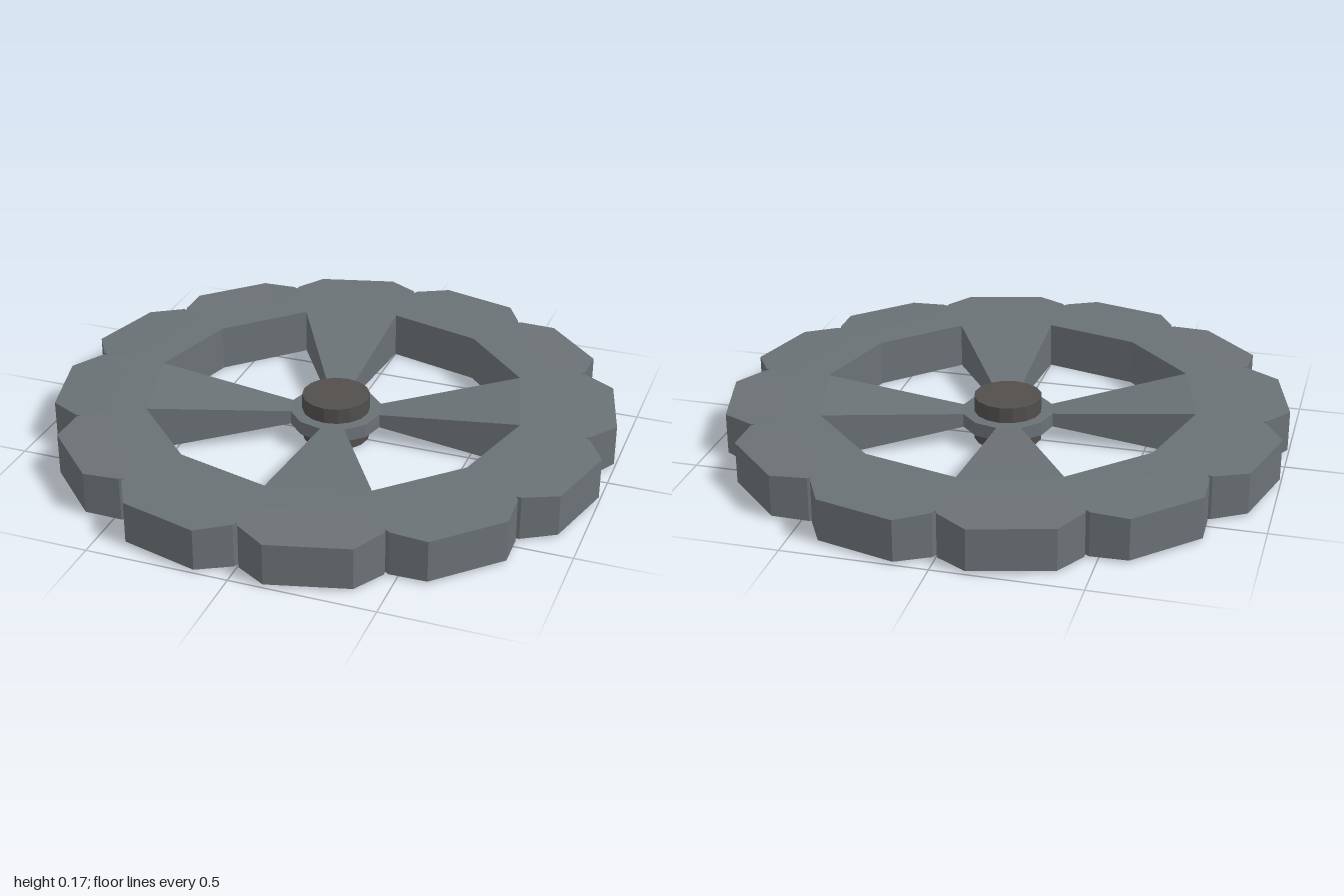
import * as THREE from 'three';

const MID = 0.084;            // mid height of the wheel
const HUB_R = 0.165, RIM_R = 0.68, SHOULDER_R = 0.82;
const HUB_H = 0.025, RIM_H = 0.084, TIP_H = 0.074;   // half thicknesses
const rad = THREE.MathUtils.degToRad;

// point on the wheel plane, angle in degrees clockwise from the back
function polar(r, deg) {
  return new THREE.Vector2(r * Math.sin(rad(deg)), -r * Math.cos(rad(deg)));
}

// point on the straight edge of one 12-gon sector
function chord(r, sector, t) {
  return polar(r, sector * 30).lerp(polar(r, sector * 30 + 30), t);
}

// collects quads; a node is {p, h}: plan position and half thickness
function builder() {
  const pos = [];
  const up = n => [n.p.x, MID + n.h, n.p.y];
  const down = n => [n.p.x, MID - n.h, n.p.y];
  const quad = (a, b, c, d) => pos.push(...a, ...b, ...c, ...a, ...c, ...d);
  return {
    // top and bottom skin between an inner and an outer edge
    skin(i0, i1, o1, o0) {
      quad(up(i0), up(i1), up(o1), up(o0));
      quad(down(i0), down(o0), down(o1), down(i1));
    },
    // upright wall, facing right of the direction from a to b seen from behind it
    wall(a, b) {
      quad(down(b), down(a), up(a), up(b));
    },
    mesh(name, material) {
      const g = new THREE.BufferGeometry();
      g.setAttribute('position', new THREE.Float32BufferAttribute(pos, 3));
      g.computeVertexNormals();
      const m = new THREE.Mesh(g, material);
      m.name = name;
      return m;
    },
  };
}

export function createModel() {
  const group = new THREE.Group();
  group.name = 'spokedWheel';
  const steel = new THREE.MeshStandardMaterial({ color: 0x6a7175 });
  steel.name = 'grey steel';
  const dark = new THREE.MeshStandardMaterial({ color: 0x514e4c });
  dark.name = 'dark steel';

  const rim = builder(), spokes = builder(), collar = builder();

  // outline of one lobe: angle within sector, radius, half thickness
  const lobe = [
    [0, 0.91, 0.08], [0.5, 0.927, 0.079], [6.8, 1.003, TIP_H],
    [23.2, 1.003, TIP_H], [29.5, 0.927, 0.079], [30, 0.91, 0.08],
  ];

  for (let s = 0; s < 12; s++) {
    const isSpoke = s % 3 === 2;
    const node = (r, t, h) => ({ p: chord(r, s, t), h });

    // rim with lobed edge
    for (let k = 0; k < lobe.length - 1; k++) {
      const [a0, r0, h0] = lobe[k], [a1, r1, h1] = lobe[k + 1];
      const o0 = { p: polar(r0, s * 30 + a0), h: h0 };
      const o1 = { p: polar(r1, s * 30 + a1), h: h1 };
      const m0 = node(SHOULDER_R, a0 / 30, RIM_H), m1 = node(SHOULDER_R, a1 / 30, RIM_H);
      const i0 = node(RIM_R, a0 / 30, RIM_H), i1 = node(RIM_R, a1 / 30, RIM_H);
      rim.skin(m0, m1, o1, o0);
      rim.skin(i0, i1, m1, m0);
      rim.wall(o0, o1);
    }

    const r0 = node(RIM_R, 0, RIM_H), r1 = node(RIM_R, 1, RIM_H);
    const c0 = node(HUB_R, 0, HUB_H), c1 = node(HUB_R, 1, HUB_H);

    // thin collar around the hub
    collar.skin(node(0.1, 0, HUB_H), node(0.1, 1, HUB_H), c1, c0);

    if (isSpoke) {
      // spoke tapering in width and thickness towards the hub
      spokes.skin(c0, c1, r1, r0);
      spokes.wall(c0, r0);
      spokes.wall(r1, c1);
    } else {
      // walls of the opening
      rim.wall(r1, r0);
      collar.wall(c0, c1);
    }
  }

  group.add(rim.mesh('lobedRim', steel), spokes.mesh('spokes', steel), collar.mesh('hubCollar', steel));

  // axle hub
  const hubGeo = new THREE.CylinderGeometry(0.122, 0.122, 0.164, 16).toNonIndexed();
  hubGeo.computeVertexNormals();
  const hub = new THREE.Mesh(hubGeo, dark);
  hub.name = 'hub';
  hub.position.y = MID;
  group.add(hub);

  return group;
}
